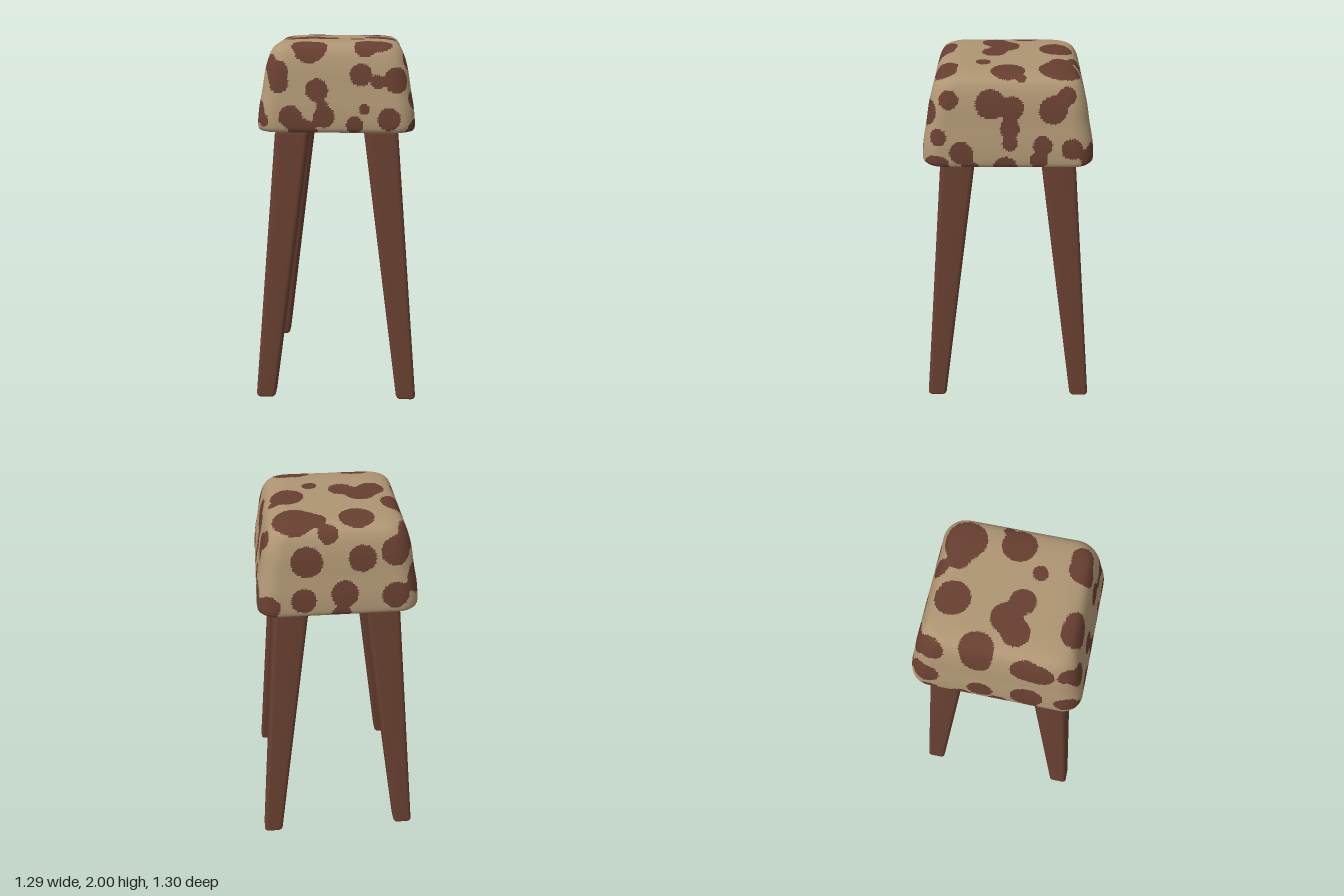
import * as THREE from 'three';

const TURN = 0.632;              // the stool stands turned about y
const HX = 0.42, HZ = 0.448;     // seat half sizes

// Skin a stack of closed rings (bottom to top) and return vertices and triangles
function loft(rings) {
  const n = rings[0].length, pos = [], tris = [];
  rings.forEach(r => r.forEach(p => pos.push(...p)));
  for (let k = 0; k < rings.length - 1; k++) {
    for (let j = 0; j < n; j++) {
      const a = k * n + j, b = k * n + (j + 1) % n;
      tris.push([a, a + n, b], [b, a + n, b + n]);
    }
  }
  return { pos, tris };
}

function makeGeometry(pos, index) {
  const g = new THREE.BufferGeometry();
  g.setAttribute('position', new THREE.Float32BufferAttribute(pos, 3));
  g.setIndex(index);
  g.computeVertexNormals();
  return g;
}

// Evenly sampled rounded rectangle, running from +x towards +z
function roundedRing(hx, hz, r, y, perSide) {
  const ring = [];
  for (let side = 0; side < 4; side++) {
    for (let i = 0; i < perSide; i++) {
      const t = 2 * i / perSide - 1;
      const [px, pz] = [[1, t], [-t, 1], [-1, -t], [t, -1]][side];
      const x = px * hx, z = pz * hz;
      const cx = THREE.MathUtils.clamp(x, r - hx, hx - r);
      const cz = THREE.MathUtils.clamp(z, r - hz, hz - r);
      const d = Math.hypot(x - cx, z - cz) || 1;
      ring.push([cx + (x - cx) / d * r, y, cz + (z - cz) / d * r]);
    }
  }
  return ring;
}

// Square leg section with rounded corners
function legRing(cx, cz, h, r, y) {
  const ring = [], steps = 3;
  for (let c = 0; c < 4; c++) {
    const mid = Math.PI / 4 + c * Math.PI / 2;
    const ox = cx + Math.sign(Math.cos(mid)) * (h - r), oz = cz + Math.sign(Math.sin(mid)) * (h - r);
    for (let i = 0; i <= steps; i++) {
      const a = c * Math.PI / 2 + i / steps * Math.PI / 2;
      ring.push([ox + r * Math.cos(a), y, oz + r * Math.sin(a)]);
    }
  }
  return ring;
}

// Seat profile: scale of the outline, height
const PROFILE = new THREE.CatmullRomCurve3([
  [0, 1.535], [0.5, 1.535], [0.96, 1.535], [0.99, 1.543], [1, 1.56], [0.985, 1.65], [0.943, 1.75],
  [0.894, 1.87], [0.83, 1.95], [0.77, 1.98], [0.645, 1.995], [0.35, 2], [0, 2],
].map(([k, y]) => new THREE.Vector3(k * 0.435, y, 0)), false, 'centripetal')
  .getSpacedPoints(112).map(p => [Math.max(p.x / 0.435, 0), Math.min(p.y, 2)]);

const scaleAt = y => PROFILE.find(p => p[1] >= y && p[0] > 0.3 && p[1] > 1.55)[0];
const heightAt = k => [...PROFILE].reverse().find(p => p[0] >= k)?.[1] ?? 1.6;

// Hide spots on the sides: distance along the side, height, radius
const SIDE_RIGHT_FRONT = [
  [-0.31, 1.85, 0.06], [-0.3, 1.79, 0.05], [-0.14, 1.96, 0.075], [-0.1, 1.757, 0.06], [-0.07, 1.68, 0.028],
  [-0.06, 1.62, 0.055], [-0.24, 1.62, 0.06], [-0.4, 1.6, 0.045], [0.13, 1.836, 0.058], [0.22, 1.8, 0.035],
  [0.32, 1.81, 0.068], [0.15, 1.66, 0.028], [0.1, 1.58, 0.045], [0.28, 1.61, 0.06], [0.15, 1.965, 0.05],
];
const SIDE_LEFT_BACK = [
  [0.16, 1.83, 0.08], [0.18, 1.63, 0.065], [-0.03, 1.66, 0.07], [-0.12, 1.84, 0.07],
  [-0.29, 1.87, 0.075], [-0.29, 1.64, 0.07], [-0.41, 1.78, 0.045], [0.36, 1.6, 0.06], [0.05, 1.96, 0.05],
];
const SIDE_LEFT_FRONT = [
  [-0.3, 1.89, 0.05], [-0.09, 1.87, 0.075], [0.02, 1.85, 0.06], [0.01, 1.746, 0.05], [0.01, 1.67, 0.04],
  [-0.24, 1.62, 0.06], [-0.36, 1.7, 0.045], [0.23, 1.84, 0.072], [0.3, 1.91, 0.045],
  [0.18, 1.66, 0.05], [0.16, 1.58, 0.045], [0.33, 1.64, 0.055], [0.43, 1.59, 0.05],
];
const SIDE_RIGHT_BACK = [
  [0.36, 1.7, 0.08], [0.09, 1.9, 0.07], [-0.15, 1.9, 0.075], [-0.17, 1.65, 0.085],
  [0.07, 1.64, 0.065], [-0.36, 1.9, 0.05], [-0.37, 1.64, 0.06],
];
// Hide spots on the top: x, z, radius
const TOP = [
  [-0.21, -0.27, 0.085], [-0.22, -0.07, 0.07], [-0.13, -0.08, 0.075], [-0.09, 0.03, 0.065], [0.07, -0.27, 0.09],
  [0.33, -0.09, 0.11], [0.25, -0.16, 0.055], [0.01, 0.17, 0.04], [0.19, 0.14, 0.088], [0.29, 0.13, 0.025],
  [-0.34, 0.17, 0.058], [-0.29, 0.22, 0.055], [-0.06, 0.36, 0.065], [0, 0.4, 0.06], [-0.43, -0.04, 0.07], [-0.1, -0.47, 0.07],
];

function makeSpots() {
  const spots = [];
  const add = (x, y, z, r) => spots.push([x, y, z, r * r]);
  for (const [s, y, r] of SIDE_RIGHT_FRONT) add(s, y, HZ * scaleAt(y), r);
  for (const [s, y, r] of SIDE_LEFT_BACK) add(s, y, -HZ * scaleAt(y), r);
  for (const [s, y, r] of SIDE_LEFT_FRONT) add(HX * scaleAt(y), y, -s, r);
  for (const [s, y, r] of SIDE_RIGHT_BACK) add(-HX * scaleAt(y), y, -s, r);
  const c = Math.cos(TURN), sn = Math.sin(TURN);
  for (const [wx, wz, r] of TOP) {
    const x = wx * c + wz * sn, z = wz * c - wx * sn;
    add(x, heightAt(Math.max(Math.abs(x) / HX, Math.abs(z) / HZ)), z, r);
  }
  // scattered spots underneath
  let seed = 7;
  const rnd = () => (seed = (seed * 16807) % 2147483647) / 2147483647;
  for (let i = -2; i <= 2; i++) {
    for (let j = -2; j <= 2; j++) {
      add(i * 0.18 + (rnd() - 0.5) * 0.1, 1.535, j * 0.19 + (rnd() - 0.5) * 0.1, 0.045 + rnd() * 0.035);
    }
  }
  return spots;
}

export function createModel() {
  const tan = new THREE.MeshStandardMaterial({ color: 0xae9573 });
  tan.name = 'tan hide';
  const brown = new THREE.MeshStandardMaterial({ color: 0x673f30 });
  brown.name = 'dark brown';

  const stool = new THREE.Group();
  stool.name = 'stool';
  const body = new THREE.Group();
  body.name = 'turnedBody';
  body.rotation.y = -TURN;
  stool.add(body);

  // Cushion: plain and spotted triangles share one smooth surface
  const { pos, tris } = loft(PROFILE.map(([k, y]) =>
    roundedRing(HX * k, HZ * k, (0.1 + 0.1 * (1 - k)) * k, y, 70)));
  const spots = makeSpots(), plain = [], spotted = [];
  for (const t of tris) {
    const [x, y, z] = [0, 1, 2].map(i => (pos[t[0] * 3 + i] + pos[t[1] * 3 + i] + pos[t[2] * 3 + i]) / 3);
    let field = 0;
    for (const [sx, sy, sz, rr] of spots) {
      const q = rr / ((x - sx) ** 2 + (y - sy) ** 2 + (z - sz) ** 2 + 1e-6);
      field += q * q * q;
    }
    (field > 1 ? spotted : plain).push(...t);
  }
  const cushion = makeGeometry(pos, plain.concat(spotted));
  cushion.addGroup(0, plain.length, 0);
  cushion.addGroup(plain.length, spotted.length, 1);
  const seat = new THREE.Mesh(cushion, [tan, brown]);
  seat.name = 'seatCushion';
  body.add(seat);

  // Four splayed legs, tapering towards the foot: height, half width, corner radius
  const sections = [[0, 0.001, 0.0005], [0, 0.043, 0.014], [0.006, 0.05, 0.018], [0.018, 0.055, 0.02],
    [1.512, 0.092, 0.026], [1.522, 0.088, 0.024], [1.53, 0.08, 0.02], [1.53, 0.001, 0.0005]];
  for (const [sx, sz, name] of [[1, 1, 'frontLeg'], [1, -1, 'leftLeg'], [-1, -1, 'backLeg'], [-1, 1, 'rightLeg']]) {
    const skin = loft(sections.map(([y, h, r]) => {
      const t = y / 1.53;
      return legRing(sx * THREE.MathUtils.lerp(0.402, 0.24, t), sz * THREE.MathUtils.lerp(0.432, 0.267, t), h, r, y);
    }));
    const leg = new THREE.Mesh(makeGeometry(skin.pos, skin.tris.flat()), brown);
    leg.name = name;
    body.add(leg);
  }
  return stool;
}
